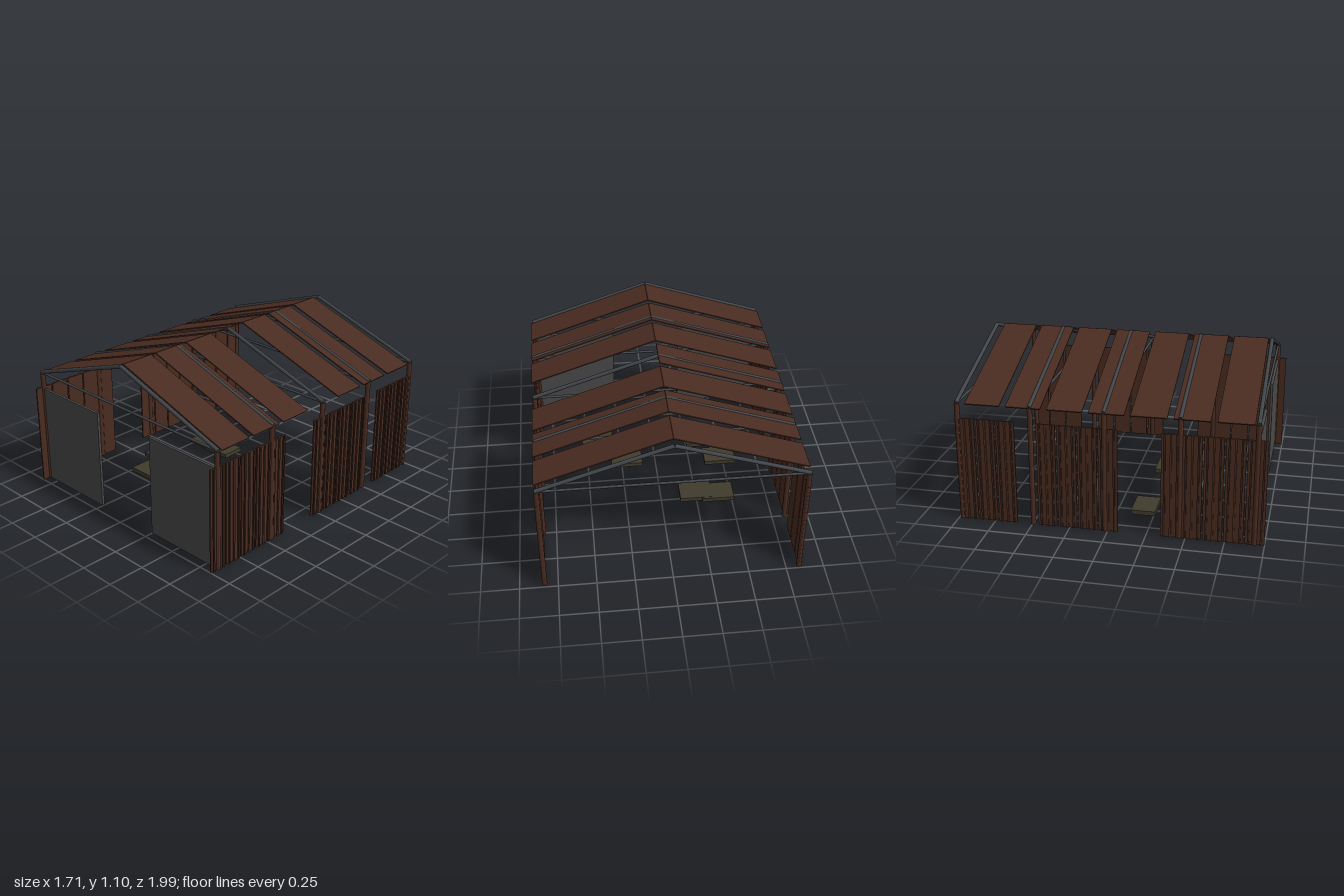
import * as THREE from 'three';

const mat = (name, color) => {
  const m = new THREE.MeshStandardMaterial({ color });
  m.name = name;
  return m;
};

export function createModel() {
  const root = new THREE.Group();
  root.name = 'openHangar';
  const rust = mat('rustBrown', 0x4a2c21);
  const darkRust = mat('darkRust', 0x38221b);
  const steel = mat('steelGrey', 0x42464a);
  const door = mat('doorGrey', 0x4a4a4a);
  const slab = mat('oliveSlab', 0x403c2c);

  const group = (name, parent = root) => {
    const g = new THREE.Group();
    g.name = name;
    parent.add(g);
    return g;
  };
  const box = (parent, name, m, w, h, d, x, y, z) => {
    const mesh = new THREE.Mesh(new THREE.BoxGeometry(w, h, d), m);
    mesh.name = name;
    mesh.position.set(x, y, z);
    parent.add(mesh);
    return mesh;
  };
  // Round bar between two points
  const bar = (parent, name, m, r, a, b) => {
    const from = new THREE.Vector3(...a), to = new THREE.Vector3(...b);
    const dir = to.clone().sub(from);
    const mesh = new THREE.Mesh(new THREE.CylinderGeometry(r, r, dir.length(), 10), m);
    mesh.name = name;
    mesh.position.copy(from).add(to).multiplyScalar(0.5);
    mesh.quaternion.setFromUnitVectors(new THREE.Vector3(0, 1, 0), dir.normalize());
    parent.add(mesh);
  };

  // Five portal frames: posts, rafters and a tie beam
  for (const z of [0.935, 0.46, -0.02, -0.495, -0.975]) {
    const frame = group('portalFrame');
    for (const s of [-1, 1]) {
      bar(frame, 'post', rust, 0.0175, [s * 0.838, 0, z], [s * 0.838, 0.8, z]);
      bar(frame, 'rafter', steel, 0.0135, [s * 0.847, 0.805, z], [0, 1.087, z]);
    }
    bar(frame, 'tieBeam', steel, 0.009, [-0.84, 0.802, z], [0.84, 0.802, z]);
  }

  // Roof sheets in seven rows, with one sheet missing on the +x slope
  const roof = group('roof');
  const run = 0.855, drop = 0.29;
  for (let i = 0; i < 7; i++) {
    for (const s of [-1, 1]) {
      if (i === 3 && s === 1) continue;
      const sheet = box(roof, 'roofSheet', rust, Math.hypot(run, drop), 0.008, 0.227,
        s * run / 2, 0.947, (i - 3) * 0.267 - 0.002);
      sheet.rotation.z = -s * Math.atan2(drop, run);
    }
  }

  // Ribbed wall sheets, fifteen bays a side with three left open
  const pitch = 2 / 15;
  for (const s of [-1, 1]) {
    const wall = group('sideWall');
    for (let i = 0; i < 15; i++) {
      if ([5, 6, 11].includes(i)) continue;
      const z = 1 - (i + 0.5) * pitch + 0.003;
      box(wall, 'wallSheet', rust, 0.01, 0.7, 0.124, s * 0.839, 0.35, z);
      for (const dz of [-0.04, 0, 0.04])
        box(wall, 'wallRib', dz ? darkRust : rust, 0.01, 0.7, 0.012, s * 0.847, 0.35, z + dz);
    }
  }

  // Front door leaves
  for (const s of [-1, 1])
    box(root, 'frontDoor', door, 0.572, 0.685, 0.018, s * 0.536, 0.345, 0.935);

  // Loose floor slabs
  const floor = group('floorSlabs');
  for (const [x, z, y] of [[-0.475, 0.18, 0.02], [-0.365, 0.4, 0.02], [0.415, 0.46, 0.02],
    [0.212, 0.217, 0.02], [-0.402, -0.222, 0.019], [-0.248, -0.207, 0.021]])
    box(floor, 'floorSlab', slab, 0.228, 0.03, 0.164, x, y, z);

  return root;
}
